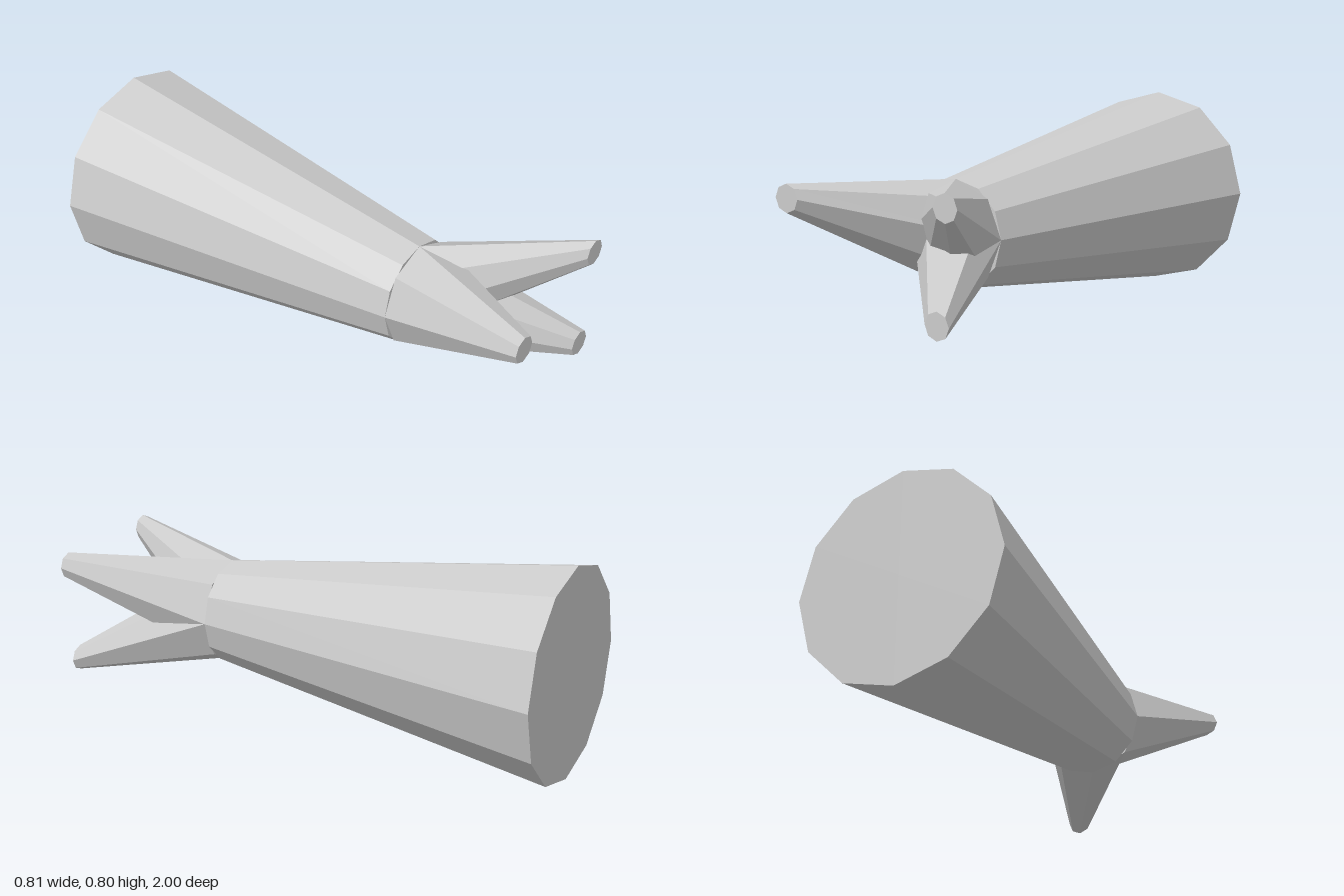
import * as THREE from 'three';

const material = new THREE.MeshStandardMaterial({ color: 0xcccccc, flatShading: true });

// Frustum along z between two circles that both face +z; the far circle may be offset sideways
function limb(name, sides, from, r0, to, r1) {
  const length = to[2] - from[2];
  const geometry = new THREE.CylinderGeometry(r1, r0, length, sides, 1);
  geometry.rotateX(Math.PI / 2);
  const p = geometry.attributes.position;
  for (let i = 0; i < p.count; i++) {
    const t = p.getZ(i) / length + 0.5;
    p.setXYZ(
      i,
      p.getX(i) + THREE.MathUtils.lerp(from[0], to[0], t),
      p.getY(i) + THREE.MathUtils.lerp(from[1], to[1], t),
      THREE.MathUtils.lerp(from[2], to[2], t)
    );
  }
  geometry.computeVertexNormals();
  const mesh = new THREE.Mesh(geometry, material);
  mesh.name = name;
  return mesh;
}

export function createModel() {
  const group = new THREE.Group();
  group.name = 'branchingTrunk';

  // Twelve-sided tapering trunk
  const fork = [-0.004, 0.4, 0.4];
  group.add(limb('trunk', 12, [-0.004, 0.4, -1], 0.4, fork, 0.2));

  // Three eight-sided branches spreading from the narrow end
  const tips = {
    upperRightBranch: [-0.25, 0.586, 1],
    upperLeftBranch: [0.353, 0.6, 0.91],
    lowerLeftBranch: [0.315, 0.211, 0.91],
  };
  for (const [name, tip] of Object.entries(tips)) {
    group.add(limb(name, 8, fork, 0.2, tip, 0.05));
  }
  return group;
}
